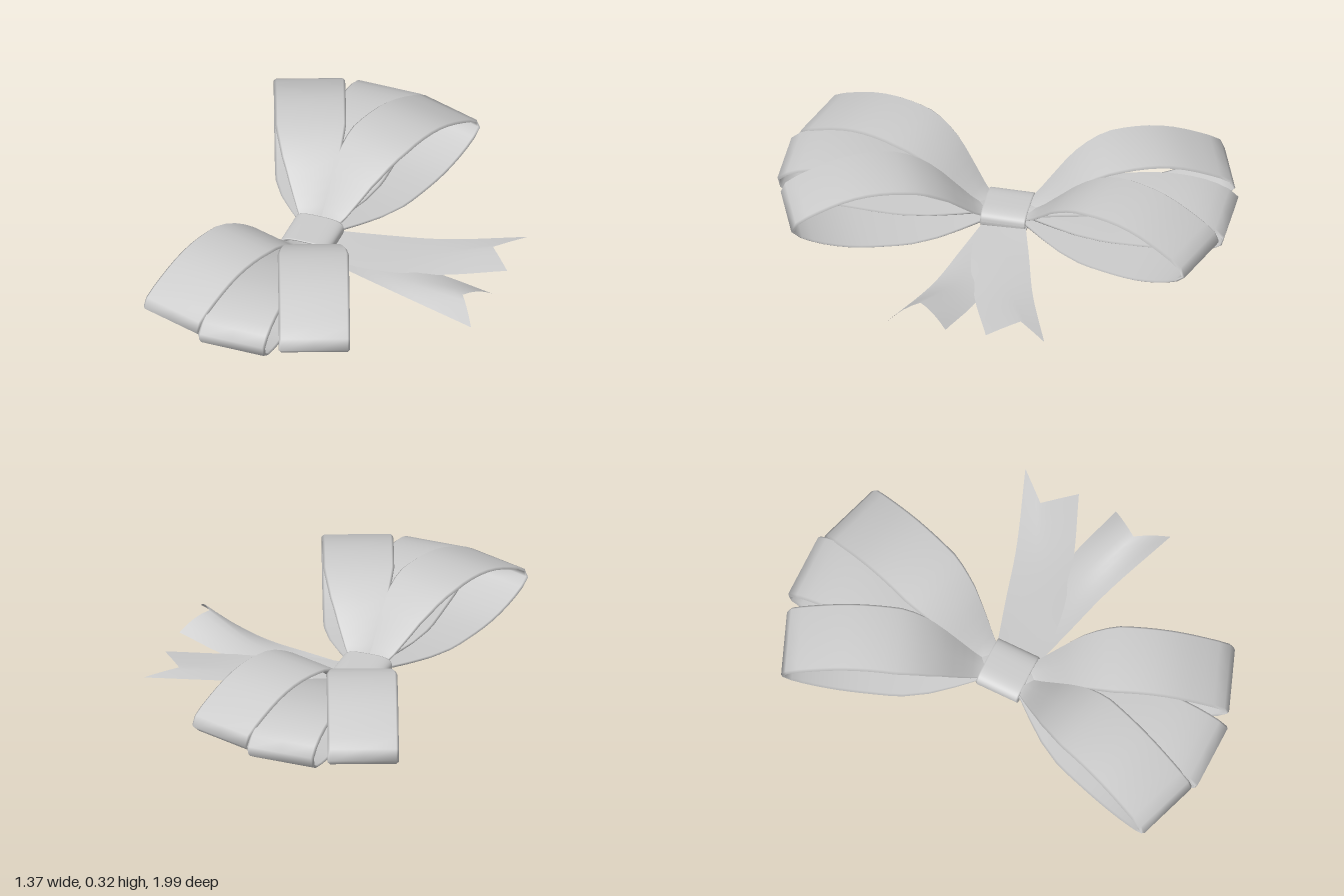
import * as THREE from 'three';

const material = new THREE.MeshStandardMaterial({ color: 0xcccccc, side: THREE.DoubleSide });
const CENTER_X = -0.185;

// Builds a grid of points into a surface; wrap joins the last column to the first
function gridMesh(name, rows, wrap) {
  const cols = rows[0].length;
  const index = [];
  for (let i = 0; i < rows.length - 1; i++) {
    for (let j = 0; j < (wrap ? cols : cols - 1); j++) {
      const a = i * cols + j;
      const b = i * cols + (j + 1) % cols;
      index.push(a, a + cols, b, b, a + cols, b + cols);
    }
  }
  const geometry = new THREE.BufferGeometry().setFromPoints(rows.flat());
  geometry.setIndex(index);
  geometry.computeVertexNormals();
  const mesh = new THREE.Mesh(geometry, material);
  mesh.name = name;
  return mesh;
}

// Half-width of a loop ribbon: pinched at the knot, parallel further out
const WIDTHS = [[0, 0.045], [0.1, 0.045], [0.22, 0.092], [0.33, 0.13], [0.46, 0.155], [2, 0.156]];
function halfWidth(r) {
  const k = Math.max(1, WIDTHS.findIndex(([d]) => d > r));
  const [r0, w0] = WIDTHS[k - 1];
  const [r1, w1] = WIDTHS[k];
  return THREE.MathUtils.lerp(w0, w1, (r - r0) / (r1 - r0));
}

// Thin ribbon section with softly rolled edges: [fraction of half-width, offset]
const SECTION = [[-1, -0.009], [-0.93, 0], [0, 0], [0.93, 0], [1, -0.009], [0.93, -0.012], [0, -0.01], [-0.93, -0.012]];

// Sweeps the ribbon along a (distance, height) profile and turns it about the knot
function ribbonLoop(name, profile, angle) {
  const curve = new THREE.CatmullRomCurve3(profile.map(([r, y]) => new THREE.Vector3(0, y, r)));
  const rows = [];
  for (let i = 0; i <= 36; i++) {
    const p = curve.getPointAt(i / 36);
    const t = curve.getTangentAt(i / 36);
    const w = halfWidth(p.z);
    rows.push(SECTION.map(([u, n]) => new THREE.Vector3(u * w, p.y + n * t.z, p.z - n * t.y)));
  }
  const mesh = gridMesh(name, rows, true);
  mesh.rotation.y = angle;
  mesh.position.x = CENTER_X;
  return mesh;
}

// Ribbon tail between two edge curves; the middle curve ends in the notch
function ribbonTail(name, edgeA, middle, edgeB) {
  const [a, m, b] = [edgeA, middle, edgeB].map(
    (pts) => new THREE.CatmullRomCurve3(pts.map((p) => new THREE.Vector3(...p))));
  const rows = [];
  for (let i = 0; i <= 16; i++) {
    const [pa, pm, pb] = [a, m, b].map((c) => c.getPoint(i / 16));
    const row = [];
    for (let j = -4; j <= 4; j++) {
      const u = j / 4;
      const p = pm.clone().lerp(u < 0 ? pa : pb, Math.abs(u));
      // arched height across the width
      p.y = pm.y * (1 - u * u) + (pa.y * (u * u - u) + pb.y * (u * u + u)) / 2;
      row.push(p);
    }
    rows.push(row);
  }
  return gridMesh(name, rows.map((r) => r.reverse()), false);
}

export function createModel() {
  const model = new THREE.Group();
  model.name = 'ribbonBow';

  // Loops: a lower middle one and two taller side ones, at the front and back
  const outer = [[0.05, 0.055], [0.11, 0.065], [0.2, 0.14], [0.3, 0.23], [0.43, 0.3], [0.58, 0.32], [0.72, 0.305],
    [0.87, 0.25], [0.96, 0.2], [0.983, 0.165], [0.96, 0.13], [0.87, 0.08], [0.72, 0.035], [0.5, 0.017],
    [0.3, 0.02], [0.05, 0.035]];
  const inner = [[0.05, 0.055], [0.11, 0.065], [0.25, 0.13], [0.4, 0.19], [0.55, 0.23], [0.7, 0.25], [0.85, 0.24],
    [0.96, 0.2], [1, 0.155], [0.97, 0.105], [0.85, 0.068], [0.65, 0.052], [0.35, 0.045], [0.05, 0.04]];
  ['front', 'back'].forEach((side, i) => {
    const turn = i * Math.PI;
    model.add(ribbonLoop(side + 'MiddleLoop', inner, turn));
    model.add(ribbonLoop(side + 'SideLoopA', outer, turn + 0.373));
    model.add(ribbonLoop(side + 'SideLoopB', outer, turn - 0.32));
  });

  // Knot: flattened band wrapped round the middle
  const band = [];
  for (const [s, z] of [[0.88, -0.1], [0.98, -0.1], [1, -0.094], [1, 0.094], [0.98, 0.1], [0.88, 0.1], [0.88, -0.1]]) {
    const ring = [];
    for (let k = 0; k <= 40; k++) {
      const t = (k / 40) * Math.PI * 2;
      const c = Math.cos(t);
      const n = Math.sin(t);
      ring.push(new THREE.Vector3(CENTER_X + 0.113 * s * Math.sign(c) * Math.abs(c) ** 0.6,
        0.047 + 0.045 * s * Math.sign(n) * Math.abs(n) ** 0.7, z));
    }
    band.push(ring.reverse());
  }
  model.add(gridMesh('knot', band, false));

  // Tails with notched ends
  model.add(ribbonTail('backTail',
    [[-0.12, 0.04, -0.09], [0.1, 0.025, -0.155], [0.35, 0.02, -0.225], [0.69, 0.035, -0.35]],
    [[-0.12, 0.035, 0], [0.1, 0.025, -0.03], [0.35, 0.022, -0.1], [0.575, 0.04, -0.22]],
    [[-0.12, 0.03, 0.095], [0.1, 0.02, 0.1], [0.4, 0.012, 0.025], [0.69, 0.03, -0.09]]));
  model.add(ribbonTail('frontTail',
    [[-0.12, 0.02, -0.04], [0.1, 0.01, -0.02], [0.4, 0.003, 0], [0.69, 0.03, 0.09]],
    [[-0.12, 0.02, 0.03], [0.1, 0.01, 0.07], [0.35, 0.025, 0.12], [0.6, 0.09, 0.22]],
    [[-0.12, 0.02, 0.09], [0.1, 0.01, 0.15], [0.35, 0.003, 0.22], [0.69, 0.03, 0.355]]));

  return model;
}
